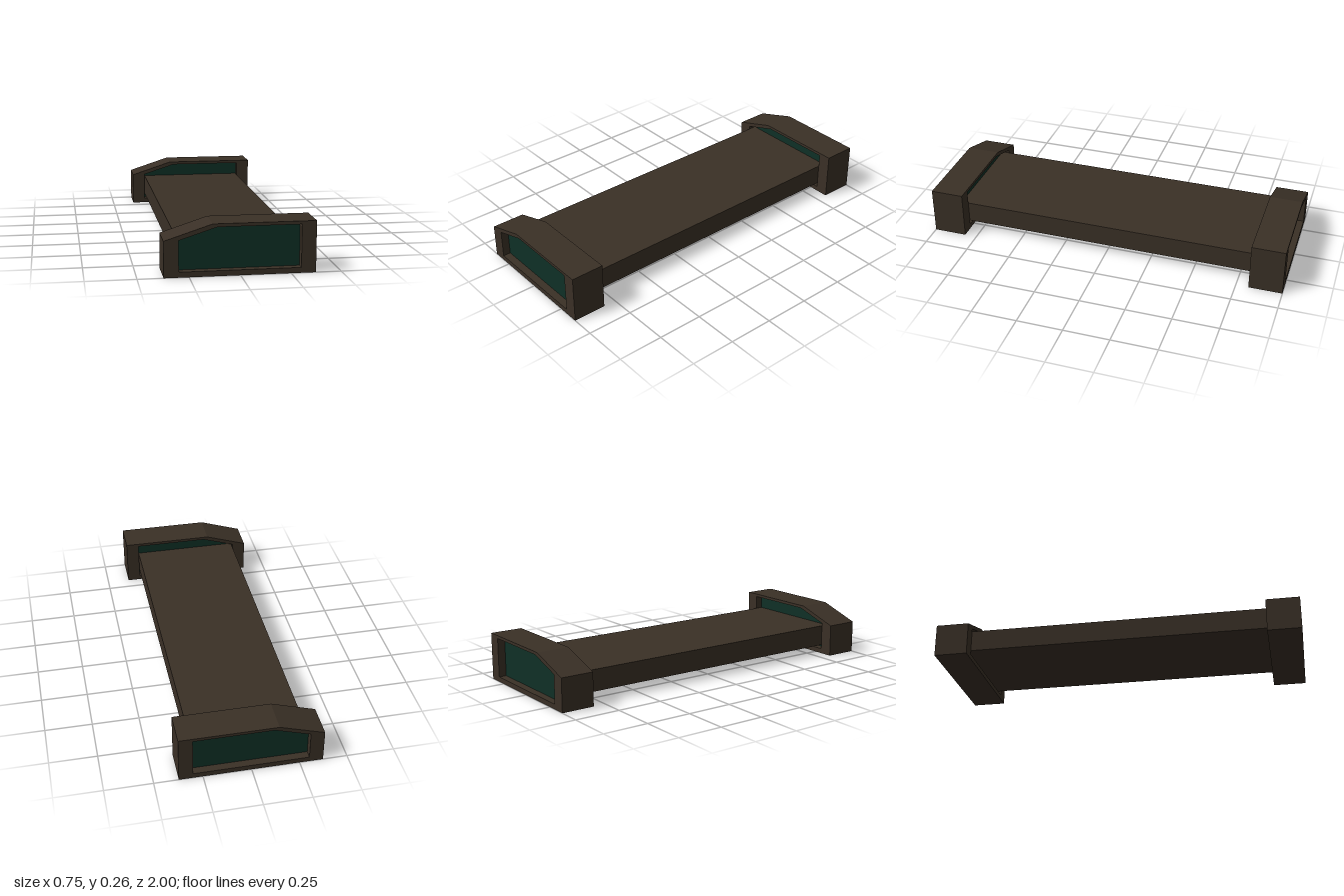
import * as THREE from 'three';

const brown = new THREE.MeshStandardMaterial({ color: 0x3a3026 });
brown.name = 'dark brown';
const green = new THREE.MeshStandardMaterial({ color: 0x0f3026 });
green.name = 'dark green';

// Outlines in x, y: boxes with the upper corner on the -x side cut off
const OUTER = [[-0.373, 0], [0.373, 0], [0.373, 0.258], [-0.136, 0.258], [-0.373, 0.181]];
const INNER = [[-0.3, 0.027], [0.3, 0.027], [0.3, 0.242], [-0.113, 0.242], [-0.3, 0.182]];
const FRAME_DEPTH = 0.182;
const RECESS = 0.042;

const toPoints = (list) => list.map(([x, y]) => new THREE.Vector2(x, y));

// Extrudes a shape along z, centred on z = 0
function slab(shape, depth, material, name) {
  const geometry = new THREE.ExtrudeGeometry(shape, { depth, bevelEnabled: false });
  geometry.translate(0, 0, -depth / 2);
  const mesh = new THREE.Mesh(geometry, material);
  mesh.name = name;
  return mesh;
}

// Frame with a panel set back from both of its faces
function createEnd(name) {
  const end = new THREE.Group();
  end.name = name;
  const frameShape = new THREE.Shape(toPoints(OUTER));
  frameShape.holes.push(new THREE.Path(toPoints(INNER)));
  end.add(slab(frameShape, FRAME_DEPTH, brown, 'frame'));
  end.add(slab(new THREE.Shape(toPoints(INNER)), FRAME_DEPTH - 2 * RECESS, green, 'panel'));
  return end;
}

export function createModel() {
  const model = new THREE.Group();
  model.name = 'framedBeam';

  // Long flat beam reaching through the inner openings to the panels
  const beam = new THREE.Mesh(new THREE.BoxGeometry(0.592, 0.117, 1.73), brown);
  beam.name = 'beam';
  beam.position.y = 0.108;
  model.add(beam);

  // Matching ends, both with the cut corner on the same side
  for (const side of [1, -1]) {
    const end = createEnd(side > 0 ? 'frontEnd' : 'backEnd');
    end.position.z = side * (1 - FRAME_DEPTH / 2);
    model.add(end);
  }
  return model;
}
